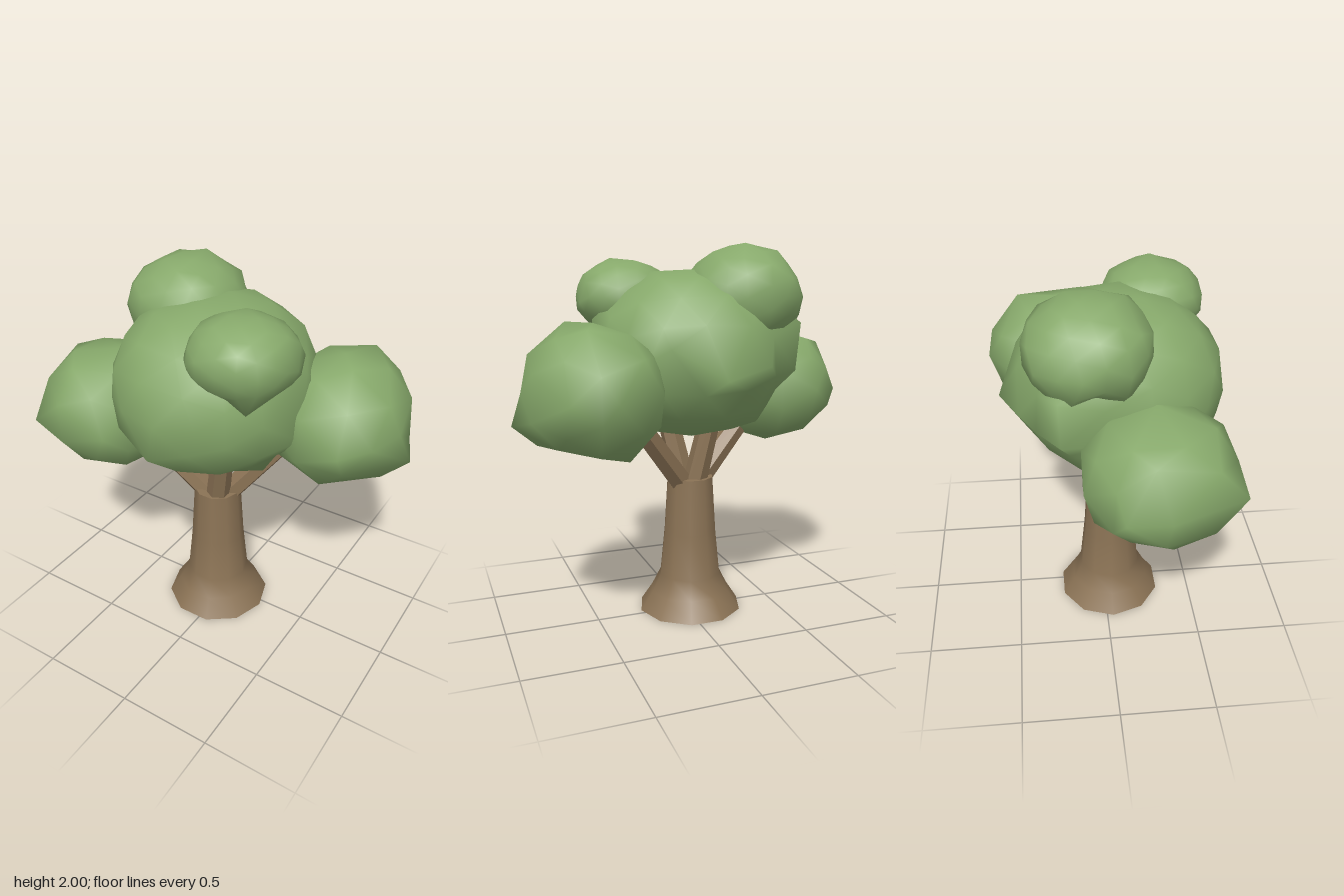
import * as THREE from 'three';
import { mergeVertices } from 'three/addons/utils/BufferGeometryUtils.js';

const V = (a) => new THREE.Vector3(...a);

function seeded(seed) {
  let s = seed;
  return () => (s = (s * 16807) % 2147483647) / 2147483647;
}

// Lumpy, slightly boxy leaf mass filling the box lo..hi; the nearest free vertex is pulled to each bump
function leafGeometry(lo, hi, detail, jitter, seed, bumps) {
  let geo = new THREE.IcosahedronGeometry(1, detail);
  geo.deleteAttribute('uv');
  geo.deleteAttribute('normal');
  geo = mergeVertices(geo, 1e-3);
  geo.rotateY(seed * 0.7);
  const rand = seeded(seed);
  const pos = geo.attributes.position;
  const v = new THREE.Vector3();
  const boxy = (t) => Math.sign(t) * Math.abs(t) ** 0.92;
  for (let i = 0; i < pos.count; i++) {
    v.fromBufferAttribute(pos, i).multiplyScalar(1 + (rand() - 0.5) * jitter);
    pos.setXYZ(i, boxy(v.x), boxy(v.y), boxy(v.z));
  }
  // fit to the box
  geo.computeBoundingBox();
  const box = geo.boundingBox;
  const c = box.getCenter(new THREE.Vector3());
  const size = V(hi).sub(V(lo)).divide(box.getSize(new THREE.Vector3()));
  const mid = V(lo).add(V(hi)).multiplyScalar(0.5);
  geo.translate(-c.x, -c.y, -c.z).scale(size.x, size.y, size.z).translate(mid.x, mid.y, mid.z);
  const used = new Set();
  for (const b of bumps) {
    const target = V(b);
    let best = 0, bestDist = Infinity;
    for (let i = 0; i < pos.count; i++) {
      const d = v.fromBufferAttribute(pos, i).distanceTo(target);
      if (d < bestDist && !used.has(i)) { bestDist = d; best = i; }
    }
    used.add(best);
    pos.setXYZ(best, ...b);
  }
  geo.computeVertexNormals();
  return geo;
}

export function createModel() {
  const tree = new THREE.Group();
  tree.name = 'tree';
  const bark = new THREE.MeshStandardMaterial({ color: 0x8b7355 });
  bark.name = 'bark brown';
  const leaf = new THREE.MeshStandardMaterial({ color: 0x87a96b });
  leaf.name = 'leaf green';

  const add = (name, geo, mat, parent = tree) => {
    const mesh = new THREE.Mesh(geo, mat);
    mesh.name = name;
    parent.add(mesh);
    return mesh;
  };

  // Flared trunk with flat caps
  const trunk = new THREE.Group();
  trunk.name = 'trunk';
  trunk.position.set(-0.042, 0, 0.035);
  tree.add(trunk);
  const profile = [[0.288, 0], [0.222, 0.1], [0.172, 0.2], [0.147, 0.45], [0.128, 0.755]];
  const sides = 10;
  add('trunkSide', new THREE.LatheGeometry(profile.map((p) => new THREE.Vector2(...p)), sides, Math.PI / 2), bark, trunk);
  add('trunkTop', new THREE.CircleGeometry(0.128, sides).rotateX(-Math.PI / 2), bark, trunk).position.y = 0.755;
  add('trunkBase', new THREE.CircleGeometry(0.288, sides).rotateX(Math.PI / 2), bark, trunk);

  // Tapered, faceted branches reaching into the leaves
  const branches = [
    ['branchRight', [-0.08, 0.71, 0.05], [-0.5, 1.14, 0.18]],
    ['branchLeft', [0.0, 0.71, 0.02], [0.38, 1.2, -0.17]],
    ['branchFront', [-0.02, 0.7, 0.07], [0.08, 1.2, 0.15]],
    ['branchBack', [-0.05, 0.7, 0.0], [-0.15, 1.2, -0.06]],
  ];
  for (const [name, from, to] of branches) {
    const a = V(from), b = V(to);
    const dir = b.clone().sub(a);
    const geo = new THREE.CylinderGeometry(0.056, 0.066, dir.length(), 6).toNonIndexed();
    geo.computeVertexNormals();
    const mesh = add(name, geo, bark);
    mesh.position.copy(a).add(b).multiplyScalar(0.5);
    mesh.quaternion.setFromUnitVectors(new THREE.Vector3(0, 1, 0), dir.normalize());
  }

  // Leaf masses
  add('leavesCentre', leafGeometry([-0.53, 1.0, -0.48], [0.47, 1.87, 0.58], 2, 0.06, 11, [
    [-0.03, 1.42, 0.6], [-0.08, 1.22, 0.59], [-0.03, 1.35, -0.53], [0.48, 1.62, 0.07],
    [0.48, 1.26, 0.1], [0.22, 1.5, -0.42], [-0.55, 1.6, -0.25], [-0.53, 1.35, -0.24],
    [-0.42, 1.05, -0.03], [0.29, 1.03, 0.12], [-0.3, 1.4, -0.43],
  ]), leaf);
  add('leavesRight', leafGeometry([-0.94, 0.9, -0.15], [-0.25, 1.54, 0.57], 1, 0.08, 5, [
    [-0.8, 1.22, 0.59], [-0.4, 1.2, 0.54], [-0.87, 1.46, 0.15], [-0.92, 1.2, 0.02],
    [-0.58, 0.89, 0.2], [-0.5, 1.55, 0.2], [-0.84, 0.98, 0.25], [-0.95, 1.22, 0.22],
    [-0.27, 1.03, 0.2],
  ]), leaf);
  add('leavesLeft', leafGeometry([0.2, 0.96, -0.58], [0.89, 1.62, 0.17], 1, 0.08, 8, [
    [0.945, 1.14, -0.19], [0.52, 1.28, -0.6], [0.74, 1.28, -0.57], [0.65, 1.62, -0.06],
    [0.4, 0.95, -0.32], [0.62, 1.6, -0.42], [0.82, 1.03, -0.15], [0.7, 1.25, 0.15],
    [0.26, 1.02, -0.15], [0.55, 0.97, 0.0],
  ]), leaf);
  add('leavesTop', leafGeometry([-0.6, 1.47, -0.4], [0.02, 1.99, 0.21], 2, 0.1, 17, [
    [-0.25, 2.0, -0.2], [-0.5, 1.6, -0.08], [0.01, 1.8, 0.03], [-0.03, 1.82, -0.22],
  ]), leaf);
  add('leavesFront', leafGeometry([-0.02, 1.54, 0.0], [0.51, 1.92, 0.525], 2, 0.08, 23, [
    [0.36, 1.52, 0.42], [-0.01, 1.77, 0.25], [0.33, 1.93, 0.27], [0.51, 1.7, 0.22],
    [0.03, 1.84, 0.18], [0.05, 1.66, 0.35],
  ]), leaf);
  return tree;
}
